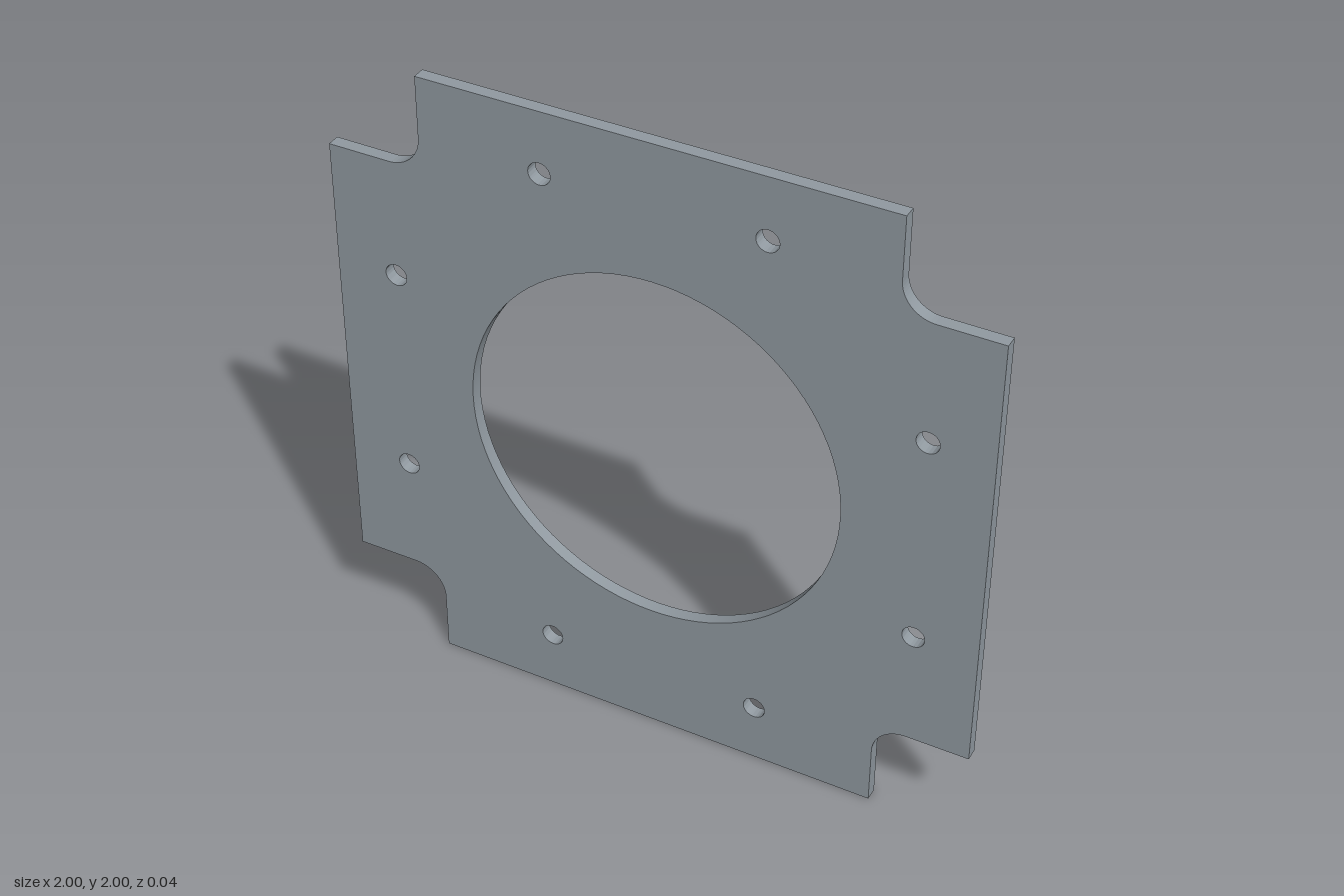
import * as THREE from 'three';
import { toCreasedNormals } from 'three/addons/utils/BufferGeometryUtils.js';

const ARM = 0.708;          // half width of each straight edge
const FILLET = 0.1;         // radius inside each corner notch
const THICKNESS = 0.04;
const BORE_RADIUS = 0.574;
const BOLT_CIRCLE = 0.875;
const BOLT_RADIUS = 0.034;

function addHole(shape, x, y, radius) {
  const hole = new THREE.Path();
  hole.absarc(x, y, radius, 0, Math.PI * 2, true);
  shape.holes.push(hole);
}

// Square plate with a filleted notch cut from each corner
function plateShape() {
  const shape = new THREE.Shape();
  shape.moveTo(1, -ARM);
  for (let i = 0; i < 4; i++) {
    const turn = i * Math.PI / 2;
    const at = (x, y) => new THREE.Vector2(x, y).rotateAround(new THREE.Vector2(), turn);
    const start = at(1, ARM);
    const centre = at(ARM + FILLET, ARM + FILLET);
    const end = at(ARM, 1);
    shape.lineTo(start.x, start.y);
    shape.absarc(centre.x, centre.y, FILLET, turn - Math.PI / 2, turn - Math.PI, true);
    shape.lineTo(end.x, end.y);
  }

  // Central bore and ring of eight bolt holes
  addHole(shape, 0, 0, BORE_RADIUS);
  for (let i = 0; i < 8; i++) {
    const angle = (i + 0.5) * Math.PI / 4;
    addHole(shape, BOLT_CIRCLE * Math.cos(angle), BOLT_CIRCLE * Math.sin(angle), BOLT_RADIUS);
  }
  return shape;
}

export function createModel() {
  const group = new THREE.Group();
  group.name = 'mountingPlate';

  const geometry = new THREE.ExtrudeGeometry(plateShape(), {
    depth: THICKNESS, bevelEnabled: false, curveSegments: 48,
  });
  geometry.translate(0, 1, -THICKNESS / 2);

  const plate = new THREE.Mesh(
    toCreasedNormals(geometry, Math.PI / 6),
    new THREE.MeshStandardMaterial({ color: 0x919aa1 }),
  );
  plate.name = 'plate';
  group.add(plate);
  return group;
}
